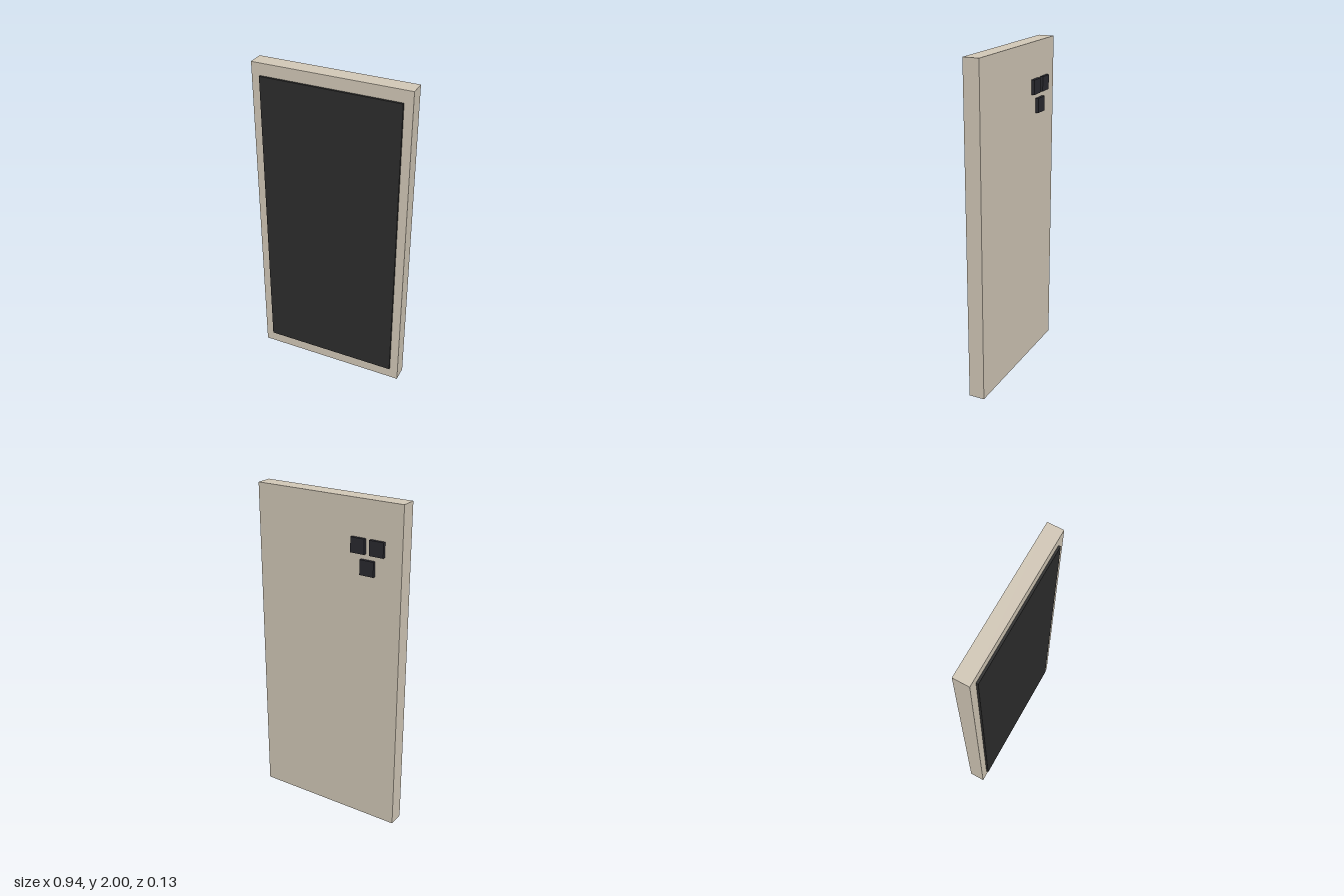
import * as THREE from 'three';

const material = (color) => new THREE.MeshStandardMaterial({ color });

// Box given by its lower and upper corners
function box(name, [x0, y0, z0], [x1, y1, z1], mat) {
  const mesh = new THREE.Mesh(new THREE.BoxGeometry(x1 - x0, y1 - y0, z1 - z0), mat);
  mesh.position.set((x0 + x1) / 2, (y0 + y1) / 2, (z0 + z1) / 2);
  mesh.name = name;
  return mesh;
}

export function createModel() {
  const model = new THREE.Group();
  model.name = 'phone';
  const back = -0.046, front = 0.05;

  // Slab body and the raised screen on its front
  model.add(box('body', [-0.472, 0, back], [0.472, 2, front], material(0xd4cab9)));
  model.add(box('screen', [-0.42, 0.075, front], [0.42, 1.927, 0.063], material(0x2d2d2d)));

  // Three square lenses in a triangle on the back
  const lensMaterial = material(0x2a2a30);
  const cameras = new THREE.Group();
  cameras.name = 'cameras';
  const half = 0.044;
  [[-0.203, 1.741], [-0.322, 1.741], [-0.263, 1.622]].forEach(([x, y], i) => {
    cameras.add(box(`lens${i + 1}`, [x - half, y - half, -0.065], [x + half, y + half, back], lensMaterial));
  });
  model.add(cameras);
  return model;
}
